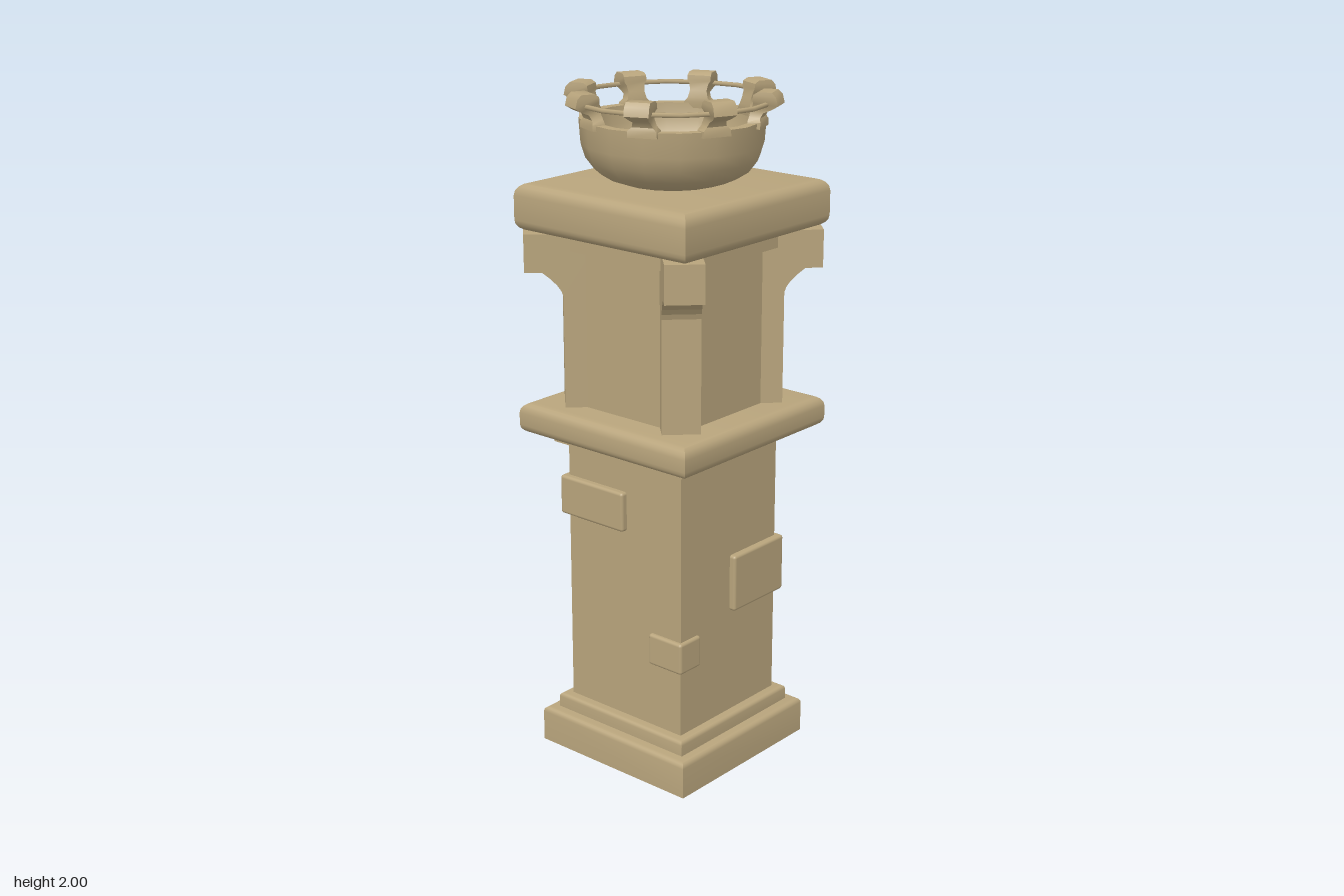
import * as THREE from 'three';
import { toCreasedNormals } from 'three/addons/utils/BufferGeometryUtils.js';
import { RoundedBoxGeometry } from 'three/addons/geometries/RoundedBoxGeometry.js';

const stone = new THREE.MeshStandardMaterial({ color: 0xb8a47c });

// Crease at a larger scale, since vertices are matched at a coarse tolerance
function crease(geometry, angle = 0.6) {
  const g = toCreasedNormals(geometry.clone().scale(100, 100, 100), angle);
  return g.scale(0.01, 0.01, 0.01);
}

function add(parent, name, geometry) {
  const mesh = new THREE.Mesh(geometry, stone);
  mesh.name = name;
  parent.add(mesh);
  return mesh;
}

// Square block of half width h with rolled bottom and top edges
function squareBlock(h, y0, y1, rollBottom = 0, rollTop = 0) {
  const pts = [[0, y0]];
  const steps = 4;
  if (rollBottom) {
    for (let i = 0; i <= steps; i++) {
      const a = (i / steps) * Math.PI / 2;
      pts.push([h - rollBottom * (1 - Math.sin(a)), y0 + rollBottom * (1 - Math.cos(a))]);
    }
  } else pts.push([h, y0]);
  if (rollTop) {
    for (let i = 0; i <= steps; i++) {
      const a = (i / steps) * Math.PI / 2;
      pts.push([h - rollTop * (1 - Math.cos(a)), y1 - rollTop * (1 - Math.sin(a))]);
    }
  } else pts.push([h, y1]);
  pts.push([0, y1]);
  const profile = pts.map(([r, y]) => new THREE.Vector2(r * Math.SQRT2, y));
  return crease(new THREE.LatheGeometry(profile, 4, Math.PI / 4));
}

// Loft of rectangular sections: [inner radius, inner y, outer radius, outer y, half width]
function loft(sections) {
  const pos = [], idx = [];
  sections.forEach(([ri, yi, ro, yo, w], s) => {
    pos.push(ri, yi, -w, ri, yi, w, ro, yo, w, ro, yo, -w);
    if (s === 0) return;
    for (let k = 0; k < 4; k++) {
      const a = (s - 1) * 4 + k, b = (s - 1) * 4 + (k + 1) % 4;
      idx.push(a, b, b + 4, a, b + 4, a + 4);
    }
  });
  const t = (sections.length - 1) * 4;
  idx.push(t, t + 1, t + 2, t, t + 2, t + 3, 0, 2, 1, 0, 3, 2);
  const g = new THREE.BufferGeometry();
  g.setAttribute('position', new THREE.Float32BufferAttribute(pos, 3));
  g.setIndex(idx);
  return crease(g, 0.75);
}

export function createModel() {
  const tower = new THREE.Group();
  tower.name = 'stoneBrazierTower';

  // Stacked square masonry: name, half width, bottom, top, rolled edges
  const blocks = [
    ['basePlinth', 0.28, 0, 0.11, 0, 0.016],
    ['baseStep', 0.245, 0.11, 0.155, 0, 0.012],
    ['lowerShaft', 0.215, 0.155, 0.97],
    ['lowerCollar', 0.245, 0.97, 1.0],
    ['middleLedge', 0.315, 1.0, 1.09, 0.025, 0.03],
    ['upperShaft', 0.215, 1.09, 1.55],
    ['upperCollar', 0.245, 1.55, 1.6],
    ['capSlab', 0.315, 1.6, 1.735, 0.03, 0.035],
  ];
  for (const [name, ...dims] of blocks) add(tower, name, squareBlock(...dims));

  // Raised stones: x range, y range, z range
  const bricks = [
    [-0.235, 0.01, 0.745, 0.865, 0.05, 0.235],
    [0, 0.235, 0.48, 0.655, -0.235, -0.005],
    [0.1, 0.225, 0.355, 0.452, 0.135, 0.227],
    [0.04, 0.155, 0.66, 0.77, -0.235, -0.15],
    [-0.235, -0.005, 0.195, 0.365, -0.235, -0.015],
    [-0.23, -0.15, 0.635, 0.73, -0.005, 0.115],
  ];
  for (const [x0, x1, y0, y1, z0, z1] of bricks) {
    const g = new RoundedBoxGeometry(x1 - x0, y1 - y0, z1 - z0, 2, 0.009);
    g.translate((x0 + x1) / 2, (y0 + y1) / 2, (z0 + z1) / 2);
    add(tower, 'raisedStone', g);
  }

  // Diagonal corner pillars with a bracket at the top
  const shape = new THREE.Shape();
  shape.moveTo(0.2, 1.09);
  shape.lineTo(0.313, 1.09);
  shape.lineTo(0.313, 1.42);
  shape.quadraticCurveTo(0.318, 1.45, 0.372, 1.49);
  shape.lineTo(0.422, 1.49);
  shape.lineTo(0.422, 1.6);
  shape.lineTo(0.2, 1.6);
  const pillar = new THREE.ExtrudeGeometry(shape, { depth: 0.109, bevelEnabled: false, curveSegments: 4 });
  pillar.translate(0, 0, -0.0545);
  for (let i = 0; i < 4; i++) {
    add(tower, 'cornerPillar', pillar).rotation.y = Math.PI / 4 + i * Math.PI / 2;
  }

  // Bowl: outer wall, flat rim, inner wall and slightly domed floor
  const bowl = [
    [0, 1.735], [0.14, 1.735], [0.185, 1.75], [0.22, 1.772], [0.245, 1.805], [0.257, 1.845],
    [0.262, 1.915], [0.232, 1.915], [0.228, 1.865], [0.212, 1.825], [0.185, 1.8], [0.155, 1.79],
    [0.11, 1.805], [0.06, 1.815], [0, 1.818],
  ].map(([r, y]) => new THREE.Vector2(r, y));
  add(tower, 'fireBowl', crease(new THREE.LatheGeometry(bowl, 16), 0.8));

  // Crown of eight prongs with outward-leaning heads
  const prong = loft([
    [0.228, 1.9, 0.263, 1.9, 0.042],
    [0.226, 1.918, 0.263, 1.918, 0.041],
    [0.227, 1.93, 0.259, 1.928, 0.03],
    [0.232, 1.95, 0.266, 1.942, 0.025],
    [0.238, 1.968, 0.29, 1.952, 0.028],
    [0.238, 1.978, 0.31, 1.964, 0.035],
    [0.24, 1.992, 0.304, 1.988, 0.035],
    [0.252, 2.0, 0.292, 2.0, 0.034],
  ]);
  for (let i = 0; i < 8; i++) {
    add(tower, 'crownProng', prong).rotation.y = Math.PI / 8 + i * Math.PI / 4;
  }

  // Thin hoop joining the prongs
  const hoop = new THREE.TorusGeometry(0.283, 0.007, 6, 16);
  hoop.rotateX(Math.PI / 2).translate(0, 1.967, 0);
  add(tower, 'crownHoop', hoop);

  return tower;
}
